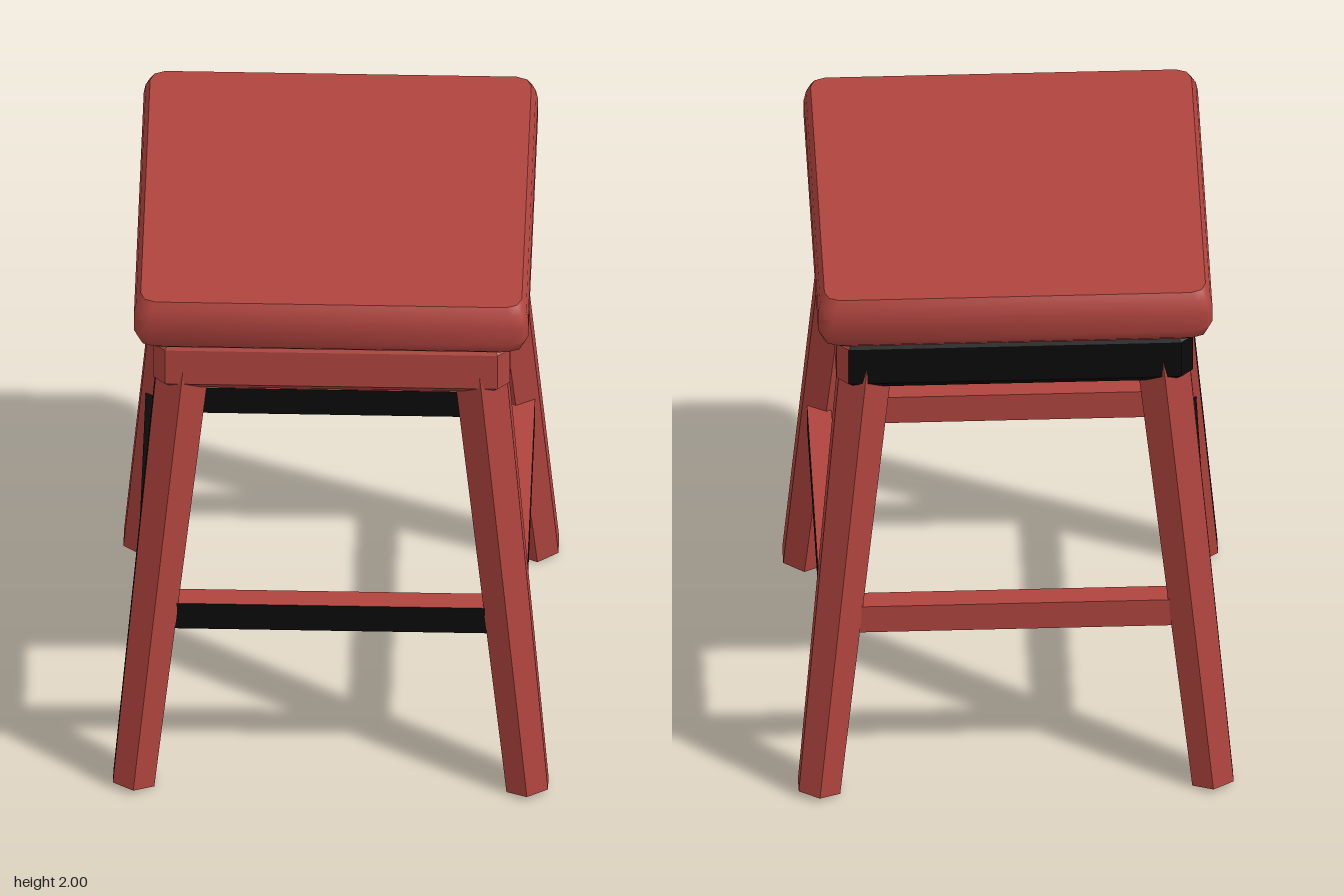
import * as THREE from 'three';
import { toCreasedNormals } from 'three/addons/utils/BufferGeometryUtils.js';

const red = new THREE.MeshStandardMaterial({ color: 0xb0443e });
red.name = 'red paint';
const black = new THREE.MeshStandardMaterial({ color: 0x0a0a0a });
black.name = 'black paint';
const RED = 0, BLACK = 1;

// Closed skin over rings of points (each counterclockwise from above, lowest first).
// colorOf(segment, side) picks the paint of each panel; segment -1 is the bottom cap.
function loft(rings, colorOf = () => RED) {
  const pos = [], geo = new THREE.BufferGeometry();
  const add = (color, ...pts) => {
    geo.addGroup(pos.length / 3, pts.length, color);
    pts.forEach((p) => pos.push(p.x, p.y, p.z));
  };
  const n = rings[0].length;
  const center = (ring) => ring.reduce((s, p) => s.add(p), new THREE.Vector3()).divideScalar(n);
  const low = rings[0], high = rings[rings.length - 1];
  const lowC = center(low), highC = center(high);
  for (let i = 0; i < n; i++) {
    const j = (i + 1) % n;
    for (let s = 0; s < rings.length - 1; s++) {
      const a = rings[s], b = rings[s + 1];
      add(colorOf(s, i), a[i], a[j], b[j], a[i], b[j], b[i]);
    }
    add(colorOf(-1, i), lowC, low[j], low[i]);
    add(RED, highC, high[i], high[j]);
  }
  geo.setAttribute('position', new THREE.Float32BufferAttribute(pos, 3));
  geo.computeVertexNormals();
  return geo;
}

// Square ring with cut or rounded corners
function squareRing(y, half, corner, steps) {
  const pts = [];
  for (let q = 0; q < 4; q++) {
    const mid = Math.PI / 4 + q * Math.PI / 2;
    const cx = Math.sign(Math.cos(mid)) * (half - corner);
    const cz = -Math.sign(Math.sin(mid)) * (half - corner);
    for (let k = 0; k <= steps; k++) {
      const a = (q + k / steps) * Math.PI / 2;
      pts.push(new THREE.Vector3(cx + corner * Math.cos(a), y, cz - corner * Math.sin(a)));
    }
  }
  return pts;
}

// Six-sided ring square to the splayed leg axis
function legRing(sx, sz, y) {
  const c = 0.66 - 0.098 * y, r = 0.08 + 0.0125 * y;
  return Array.from({ length: 6 }, (_, k) => {
    const a = Math.PI / 6 + k * Math.PI / 3;
    const ox = r * Math.cos(a), oz = -r * Math.sin(a);
    return new THREE.Vector3(sx * c + ox, y + 0.098 * (sx * ox + sz * oz), sz * c + oz);
  });
}

export function createModel() {
  const stool = new THREE.Group();
  stool.name = 'stool';
  const part = (name, geo, mats = [red, black]) => {
    const mesh = new THREE.Mesh(geo, mats);
    mesh.name = name;
    stool.add(mesh);
    return mesh;
  };

  // Cushioned seat with softly rounded sides
  const seatProfile = [[1.79, 0.61], [1.82, 0.645], [1.86, 0.66], [1.93, 0.66], [1.97, 0.653], [2.0, 0.638]];
  part('seat', toCreasedNormals(loft(seatProfile.map(([y, h]) => squareRing(y, h, 0.05, 2))), 0.8));

  // Bevelled frame under the seat, its back painted black
  const frameProfile = [[1.59, 0.565], [1.625, 0.597], [1.765, 0.597], [1.795, 0.58]];
  part('seatFrame', loft(frameProfile.map(([y, h]) => squareRing(y, h, 0.04, 1)),
    (s, side) => (s >= 0 && (side === 1 || side === 2) ? BLACK : RED)));

  // Splayed tapering legs; side 2 faces -x and side 5 faces +x
  for (const sx of [-1, 1]) for (const sz of [-1, 1]) {
    const paint = (s, side) => {
      if (s === -1) return sx > 0 ? BLACK : RED;
      if (side === 2 && sx !== sz) return sx < 0 || s === 0 ? BLACK : RED;
      if (side === 2 && sx > 0) return BLACK;
      if (side === 5 && sx < 0) return sz < 0 || s === 0 ? BLACK : RED;
      return RED;
    };
    part((sz > 0 ? 'front' : 'back') + (sx > 0 ? 'Left' : 'Right') + 'Leg',
      loft([0.012, 0.68, 1.74].map((y) => legRing(sx, sz, y)), paint));
  }

  // Rungs between the legs; blackFaces lists box faces in the order +x -x +y -y +z -z
  const rung = (name, size, x, z, blackFaces) => {
    const mats = [0, 1, 2, 3, 4, 5].map((f) => (blackFaces.includes(f) ? black : red));
    part(name, new THREE.BoxGeometry(...size), mats).position.set(x, 0.68, z);
  };
  rung('frontRung', [1.14, 0.105, 0.08], 0, 0.596, [4]);
  rung('backRung', [1.14, 0.105, 0.08], 0, -0.596, [3, 4]);
  rung('leftRung', [0.08, 0.085, 1.1], 0.612, 0, [0]);
  rung('rightRung', [0.08, 0.085, 1.1], -0.612, 0, [1, 2, 3]);

  return stool;
}
